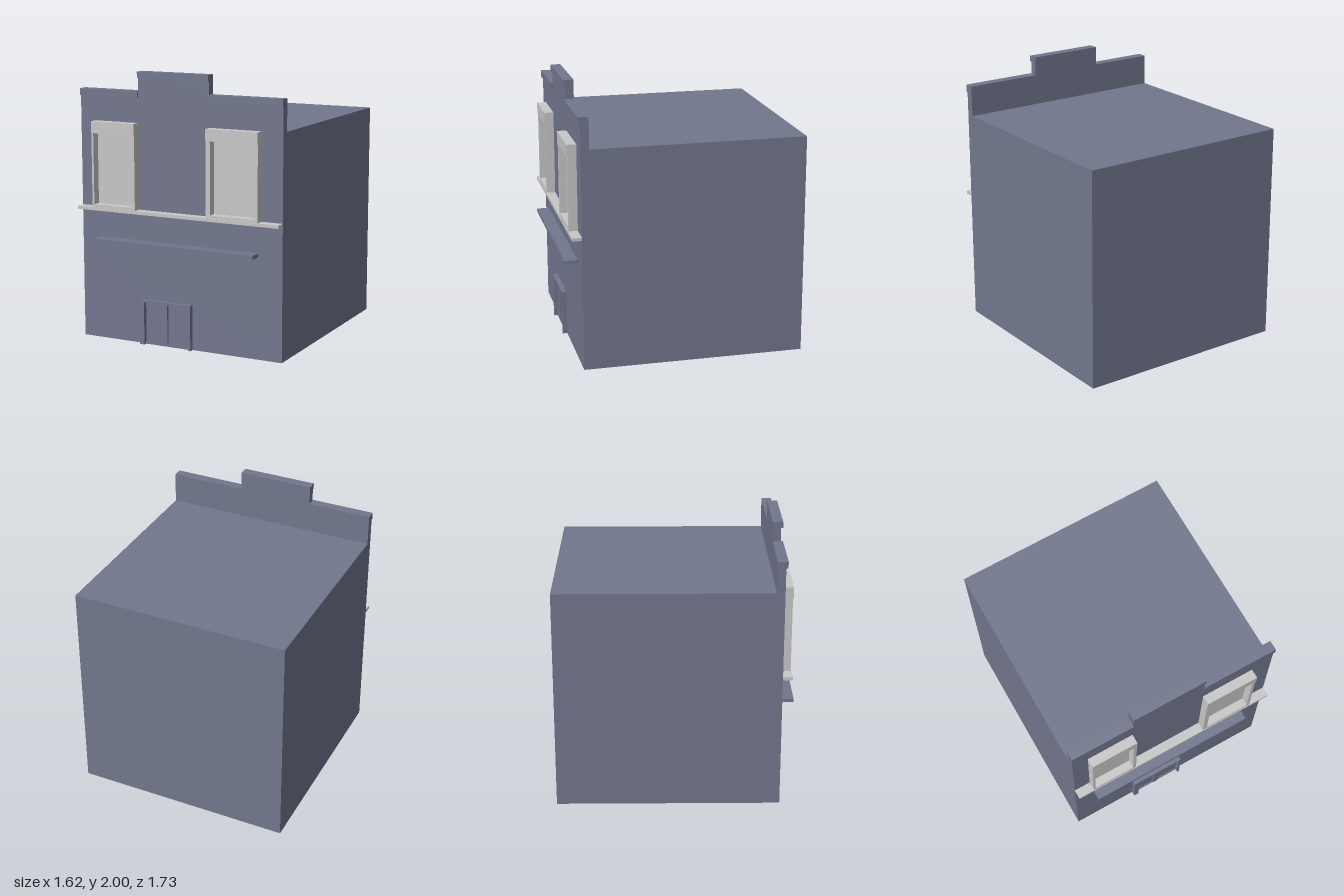
import * as THREE from 'three';

const FRONT = 0.77, BACK = -0.862, HALF = 0.812, ROOF = 1.63;

export function createModel() {
  const model = new THREE.Group();
  const wall = new THREE.MeshStandardMaterial({ color: 0x73778e, side: THREE.DoubleSide });
  wall.name = 'slate wall';
  const trim = new THREE.MeshStandardMaterial({ color: 0xc8c8c8, side: THREE.DoubleSide });
  trim.name = 'pale trim';

  const add = (name, geometry, material, z = 0, parent = model) => {
    const mesh = new THREE.Mesh(geometry, material);
    mesh.name = name;
    mesh.position.z += z;
    parent.add(mesh);
    return mesh;
  };

  // box given by its limits; skip lists the sides left open (0..5 = +x -x +y -y +z -z)
  const box = (name, [x0, x1], [y0, y1], [z0, z1], material, skip = [], parent = model) => {
    const g = new THREE.BoxGeometry(x1 - x0, y1 - y0, z1 - z0);
    g.translate((x0 + x1) / 2, (y0 + y1) / 2, (z0 + z1) / 2);
    const index = Array.from(g.index.array).filter((_, i) => !skip.includes(Math.floor(i / 6)));
    g.setIndex(index);
    g.clearGroups();
    return add(name, g, material, 0, parent);
  };

  const outline = (Type, points) => new Type(points.map(([x, y]) => new THREE.Vector2(x, y)));
  const rect = (Type, [x0, x1], [y0, y1]) => outline(Type, [[x0, y0], [x1, y0], [x1, y1], [x0, y1]]);
  const extrude = (shape, depth) => new THREE.ExtrudeGeometry(shape, { depth, bevelEnabled: false });

  const windows = [
    { name: 'rightWindow', outer: [-0.688, -0.33], pane: [-0.672, -0.355] },
    { name: 'leftWindow', outer: [0.245, 0.65], pane: [0.28, 0.625] },
  ];
  const paneY = [1.02, 1.545];
  const doorX = [-0.28, 0.085], doorY = [0, 0.32];
  const canopyX = [-0.668, 0.625], canopyY = [0.743, 0.77];

  // hollow shell, open at the bottom, with a pierced front wall
  box('buildingShell', [-HALF, HALF], [0, ROOF], [BACK, FRONT], wall, [3, 4]);
  const facade = outline(THREE.Shape, [
    [-HALF, 0], [doorX[0], 0], [doorX[0], doorY[1]], [doorX[1], doorY[1]], [doorX[1], 0],
    [HALF, 0], [HALF, ROOF], [-HALF, ROOF],
  ]);
  windows.forEach((w) => facade.holes.push(rect(THREE.Path, w.pane, paneY)));
  facade.holes.push(rect(THREE.Path, canopyX, canopyY));
  add('frontWall', new THREE.ShapeGeometry(facade), wall, FRONT);

  // stepped parapet and its cornices
  const parapet = outline(THREE.Shape, [
    [-HALF, ROOF], [HALF, ROOF], [HALF, 1.86], [0.24, 1.86],
    [0.24, 2], [-0.33, 2], [-0.33, 1.86], [-HALF, 1.86],
  ]);
  add('parapet', extrude(parapet, 0.06), wall, 0.71);
  box('rightCornice', [-HALF, -0.33], [1.81, 1.86], [FRONT, 0.785], wall, [5]);
  box('middleCornice', [-0.33, 0.24], [1.956, 2], [FRONT, 0.785], wall, [5]);
  box('leftCornice', [0.24, HALF], [1.806, 1.86], [FRONT, 0.785], wall, [5]);

  // windows: deep casing, projecting lintel and flat pane
  for (const w of windows) {
    const group = new THREE.Group();
    group.name = w.name;
    model.add(group);
    const casing = rect(THREE.Shape, w.outer, [0.998, 1.545]);
    // the casing opening stops short of the lintel by a hair
    casing.holes.push(rect(THREE.Path, w.pane, [1.02, 1.544]));
    add('casing', extrude(casing, 0.065), trim, FRONT, group);
    box('lintel', w.outer, [1.545, ROOF], [FRONT, 0.84], trim, [], group);
    add('pane', new THREE.ShapeGeometry(rect(THREE.Shape, w.pane, paneY)), trim, FRONT + 0.003, group);
  }

  // ledge across the front and the canopy strip over the shopfront
  box('ledge', [-HALF, HALF], [0.975, 0.998], [FRONT, 0.84], trim);
  box('canopyStrip', canopyX, canopyY, [FRONT, 0.865], wall, [5]);

  // entrance: frame, two door leaves, mullion and bottom rail
  const door = new THREE.Group();
  door.name = 'entrance';
  model.add(door);
  const frame = outline(THREE.Shape, [
    [-0.317, 0], [doorX[0], 0], [doorX[0], doorY[1]], [doorX[1], doorY[1]],
    [doorX[1], 0], [0.102, 0], [0.102, 0.335], [-0.317, 0.335],
  ]);
  add('doorFrame', extrude(frame, 0.035), wall, FRONT, door);
  for (const [name, x] of [['rightDoor', [-0.28, -0.13]], ['leftDoor', [-0.095, 0.085]]]) {
    add(name, new THREE.ShapeGeometry(rect(THREE.Shape, x, [0.025, doorY[1]])), wall, FRONT + 0.003, door);
  }
  box('mullion', [-0.13, -0.095], [0.025, doorY[1]], [FRONT, 0.79], wall, [], door);
  box('bottomRail', doorX, [0, 0.025], [FRONT, 0.78], wall, [], door);

  return model;
}
